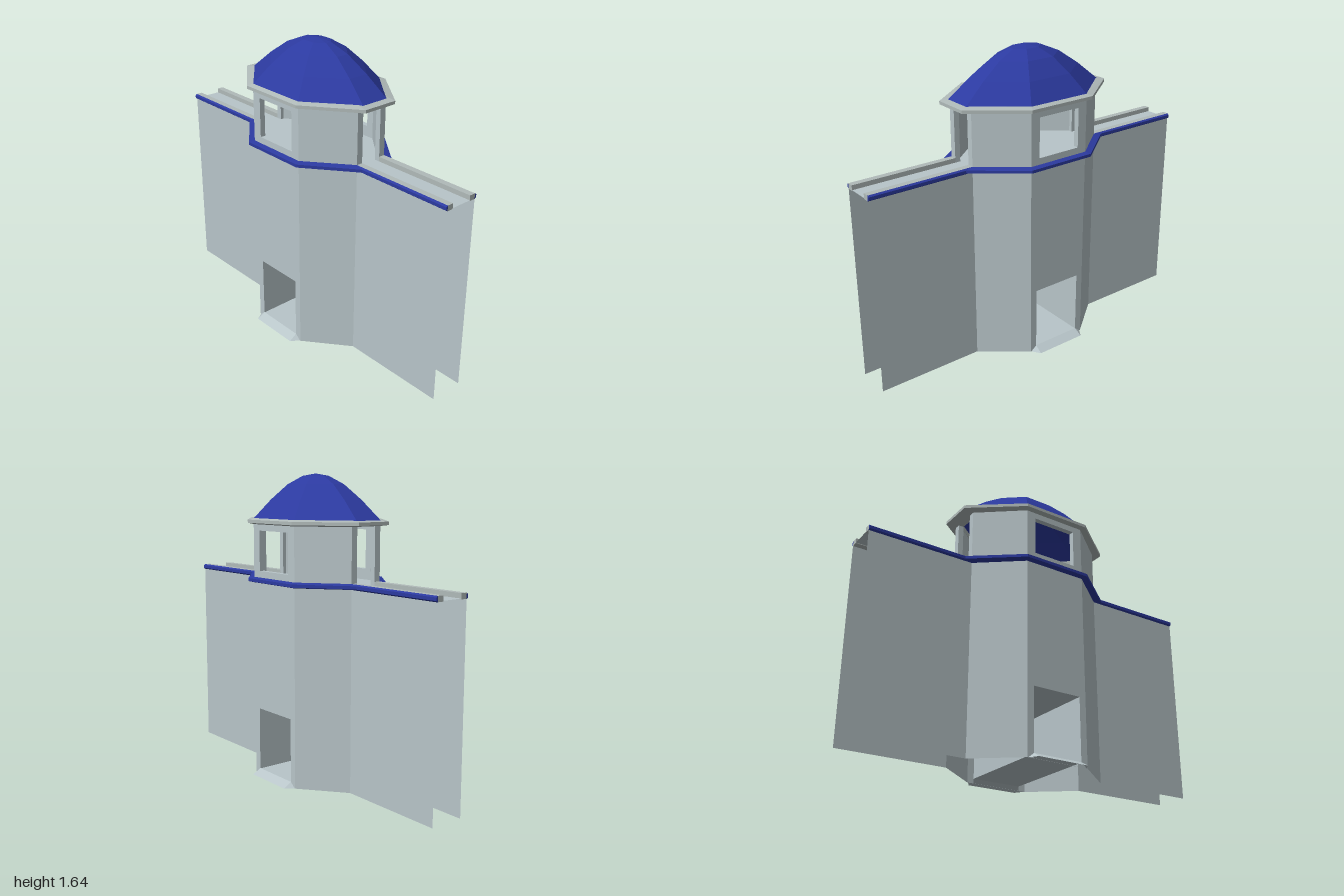
import * as THREE from 'three';

const mat = (name, color) => new THREE.MeshStandardMaterial({ name, color, side: THREE.DoubleSide, flatShading: true });

// Elongated octagon in plan, as [x, z] pairs
const octagon = (X, zi, xi, Z) => [
  [X, zi], [xi, Z], [-xi, Z], [-X, zi], [-X, -zi], [-xi, -Z], [xi, -Z], [X, -zi],
];
const atHeight = (plan, y, s = 1) => plan.map(([x, z]) => [x * s, y, z * s]);

// Flat-faced surface through a list of equal-length point rows
function loft(rows, closed) {
  const pos = [];
  for (let r = 0; r < rows.length - 1; r++) {
    const lo = rows[r], hi = rows[r + 1], n = lo.length;
    for (let i = 0; i < (closed ? n : n - 1); i++) {
      const j = (i + 1) % n;
      pos.push(...lo[i], ...hi[i], ...hi[j], ...lo[i], ...hi[j], ...lo[j]);
    }
  }
  const g = new THREE.BufferGeometry();
  g.setAttribute('position', new THREE.Float32BufferAttribute(pos, 3));
  g.computeVertexNormals();
  return g;
}

export function createModel() {
  const model = new THREE.Group();
  model.name = 'gateTower';
  const stone = mat('paleStone', 0xb8c5c9);
  const edging = mat('greyEdging', 0xb0bab9);
  const blue = mat('blueRoof', 0x2c3aa0);

  const add = (name, geometry, material) => {
    const mesh = new THREE.Mesh(geometry, material);
    mesh.name = name;
    model.add(mesh);
    return mesh;
  };
  const box = (name, x0, x1, y0, y1, z0, z1, m) =>
    add(name, new THREE.BoxGeometry(x1 - x0, y1 - y0, z1 - z0), m)
      .position.set((x0 + x1) / 2, (y0 + y1) / 2, (z0 + z1) / 2);

  // Upright panel from a to b, with an optional centred opening
  const panel = (name, a, b, y0, y1, depth, hole) => {
    const dx = b[0] - a[0], dz = b[1] - a[1], w = Math.hypot(dx, dz);
    const shape = new THREE.Shape([[0, y0], [w, y0], [w, y1], [0, y1]].map(p => new THREE.Vector2(...p)));
    if (hole) {
      const [h, b0, b1] = hole, c = w / 2;
      shape.holes.push(new THREE.Path([[c - h, b0], [c - h, b1], [c + h, b1], [c + h, b0]].map(p => new THREE.Vector2(...p))));
    }
    const g = depth
      ? new THREE.ExtrudeGeometry(shape, { depth, bevelEnabled: false })
      : new THREE.ShapeGeometry(shape);
    const mesh = add(name, g, stone);
    mesh.position.set(a[0], 0, a[1]);
    mesh.rotation.y = Math.atan2(-dz, dx);
  };

  const deckY = 1.07, roofY = 1.38;
  const plan = octagon(0.28, 0.18, 0.095, 0.41);
  const rim = octagon(0.308, 0.195, 0.1, 0.468);

  // Tower walls: gates below, thick walls with windows above, ends left open
  plan.forEach((a, i) => {
    const b = plan[(i + 1) % 8];
    if (i === 1 || i === 5) return;
    const side = i === 3 || i === 7;
    panel('towerWall', a, b, 0, deckY, 0, side && [0.142, 0.001, 0.37]);
    panel(side ? 'windowWall' : 'upperWall', a, b, deckY, roofY, 0.03, side && [0.127, 1.13, 1.345]);
  });

  // Tower floor
  const floor = new THREE.ShapeGeometry(new THREE.Shape(plan.map(([x, z]) => new THREE.Vector2(x, -z))));
  add('towerFloor', floor.rotateX(-Math.PI / 2).translate(0, deckY, 0), stone);

  // Gate passage through the tower: floor, side walls and ceiling
  const section = [[0.025, -0.142], [0.37, -0.142], [0.37, 0.142], [0.025, 0.142]];
  add('gatePassage', loft([-0.28, 0.28].map(x => section.map(([y, z]) => [x, y, z])), true), stone);

  for (const s of [1, -1]) {
    // Flared ramp at each gate
    add('gateRamp', loft([
      [[s * 0.28, 0, -0.175], [s * 0.326, 0, -0.145], [s * 0.326, 0, 0.145], [s * 0.28, 0, 0.175]],
      [[s * 0.28, 0.027, -0.142], [s * 0.28, 0.027, -0.142], [s * 0.28, 0.027, 0.142], [s * 0.28, 0.027, 0.142]],
    ], false), stone);

    // Blue band along the walls and around the tower
    const inner = [[0.095, 1], [0.095, 0.41], [0.28, 0.18], [0.28, -0.18], [0.095, -0.41], [0.095, -1]];
    const outer = [[0.105, 1], [0.105, 0.455], [0.308, 0.195], [0.308, -0.195], [0.105, -0.455], [0.105, -1]];
    const row = (p, y) => p.map(([x, z]) => [s * x, y, z]);
    const rows = [row(inner, 1.065), row(outer, 1.072), row(outer, 1.088), row(inner, 1.095)];
    add('wallBand', loft(rows, false), blue);
    for (const e of [0, 5]) {
      const [p, q, r, t] = rows.map(k => k[e]);
      add('bandEnd', loft([[p, q], [t, r]], false), blue);
    }

    // Long walls, parapets and door posts
    for (const t of [1, -1]) {
      panel('longWall', [s * 0.095, t * 0.41], [s * 0.095, t], 0, deckY, 0);
      const x0 = s > 0 ? 0.06 : -0.095, x1 = x0 + 0.035;
      const z = (a, b) => (t > 0 ? [a, b] : [-b, -a]);
      box('parapet', x0, x1, 1.066, 1.095, ...z(0.41, 1), edging);
      box('doorPost', x0, x1, deckY, roofY, ...z(0.38, 0.41), stone);
    }
  }

  // Walkway deck on each side of the tower
  for (const t of [1, -1]) {
    const deck = add('walkway', new THREE.PlaneGeometry(0.19, 0.59).rotateX(-Math.PI / 2), stone);
    deck.position.set(0, deckY, t * 0.705);
  }

  // Cornice ring
  const lip = octagon(0.25, 0.165, 0.08, 0.38);
  add('cornice', loft([
    atHeight(lip, 1.378), atHeight(plan, 1.378), atHeight(rim, 1.385),
    atHeight(rim, 1.402), atHeight(plan, 1.41), atHeight(lip, 1.41), atHeight(lip, 1.378),
  ], true), edging);

  // Faceted dome
  const domePlan = octagon(0.28, 0.18, 0.08, 0.428);
  const profile = [[1, 1.408], [0.72, 1.508], [0.45, 1.588], [0.21, 1.632], [0.001, 1.645]];
  add('dome', loft(profile.map(([k, y]) => atHeight(domePlan, y, k)), true), blue);

  return model;
}
